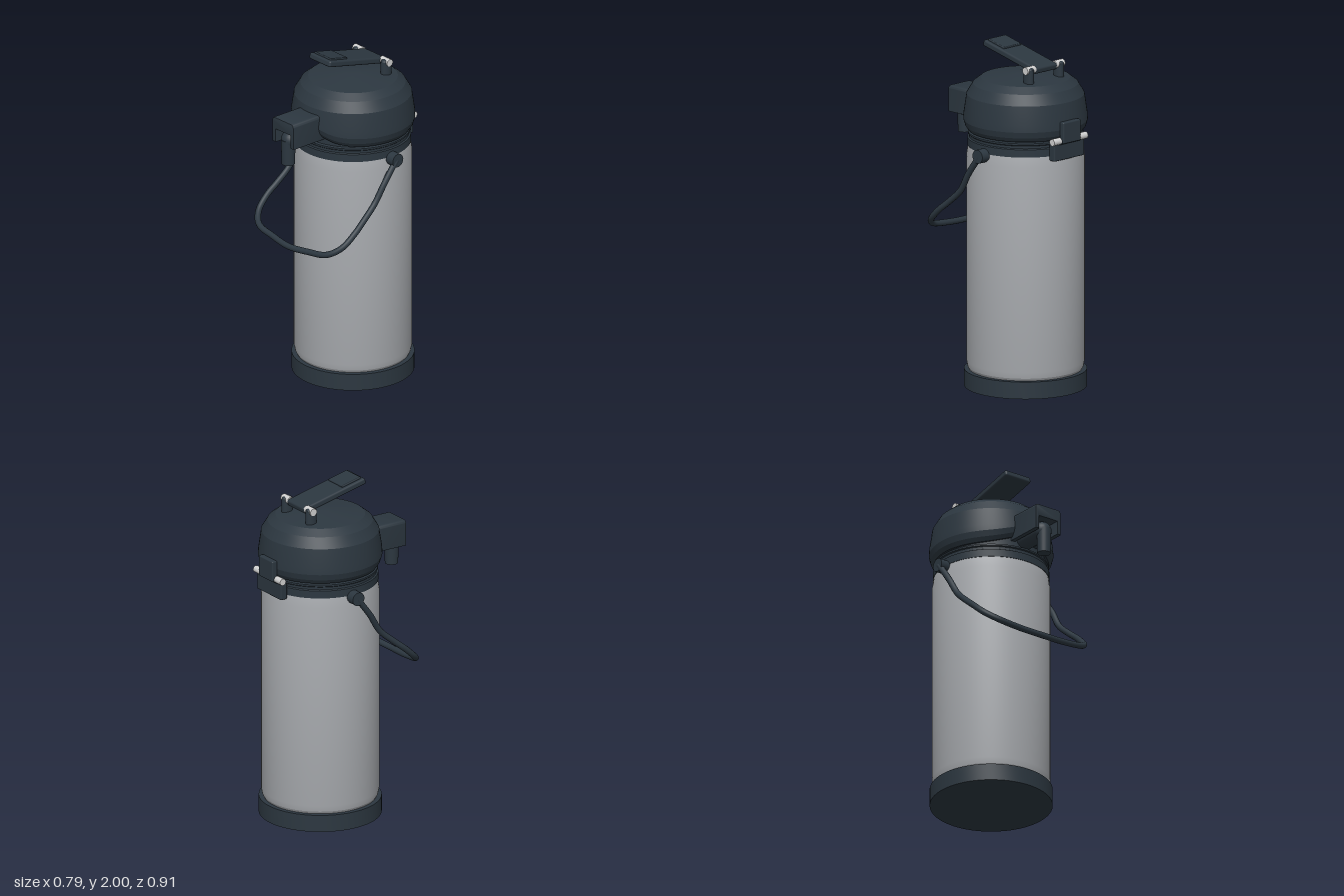
import * as THREE from 'three';
import { toCreasedNormals } from 'three/addons/utils/BufferGeometryUtils.js';
import { RoundedBoxGeometry } from 'three/addons/geometries/RoundedBoxGeometry.js';

const AXIS_Z = -0.08; // the flask sits slightly behind the centre

export function createModel() {
  const model = new THREE.Group();
  model.name = 'vacuumFlask';

  const material = (name, color) => {
    const m = new THREE.MeshStandardMaterial({ color });
    m.name = name;
    return m;
  };
  const plastic = material('dark plastic', 0x2c3740);
  const steel = material('brushed steel', 0xa8abaf);
  const pinMetal = material('light pin metal', 0xd0d0d0);

  const add = (name, geometry, mat, x = 0, y = 0, z = 0, parent = model) => {
    const mesh = new THREE.Mesh(geometry, mat);
    mesh.name = name;
    mesh.position.set(x, y, z);
    parent.add(mesh);
    return mesh;
  };
  const box = (w, h, d, r = 0.008) => new RoundedBoxGeometry(w, h, d, 3, r);
  const rod = (r, length) => new THREE.CylinderGeometry(r, r, length, 24);
  const rodX = (r, length) => rod(r, length).rotateZ(Math.PI / 2);
  const lathe = (points) =>
    new THREE.LatheGeometry(points.map(([r, y]) => new THREE.Vector2(r, y)), 72);
  const crease = (geometry) => toCreasedNormals(geometry, 0.22);

  // Foot, body and neck collar
  add('base', crease(lathe([[0, 0], [0.35, 0], [0.35, 0.1], [0.3, 0.1]])), plastic, 0, 0, AXIS_Z);
  add('body', crease(lathe([
    [0.3, 0.09], [0.322, 0.1], [0.33, 0.115], [0.337, 0.15], [0.337, 1.35], [0.328, 1.41], [0.3, 1.415],
  ])), steel, 0, 0, AXIS_Z);
  add('collar', crease(lathe([
    [0.3, 1.41], [0.331, 1.41], [0.331, 1.455], [0.322, 1.46], [0.322, 1.475],
    [0.328, 1.48], [0.328, 1.49], [0.315, 1.495], [0.315, 1.58],
  ])), plastic, 0, 0, AXIS_Z);

  // Domed head, its lower rim lifted into an arch under the spout
  const head = lathe([
    [0.3, 1.5], [0.328, 1.5], [0.344, 1.525], [0.354, 1.56], [0.352, 1.6],
    [0.336, 1.71], [0.3, 1.77], [0.255, 1.805], [0.05, 1.833], [0, 1.834],
  ]);
  const pos = head.attributes.position;
  for (let i = 0; i < pos.count; i++) {
    const x = pos.getX(i), y = pos.getY(i);
    if (pos.getZ(i) > 0 && y < 1.65) {
      const fade = Math.min(1, (1.65 - y) / 0.1);
      pos.setY(i, y + 0.06 * fade * Math.exp(-((x / 0.15) ** 2)));
    }
  }
  add('head', crease(head), plastic, 0, 0, AXIS_Z);

  // Spout hood, open underneath
  const hood = new THREE.Shape();
  hood.moveTo(-0.084, 1.53);
  hood.lineTo(-0.084, 1.655);
  hood.quadraticCurveTo(-0.084, 1.67, -0.069, 1.67);
  hood.lineTo(0.069, 1.67);
  hood.quadraticCurveTo(0.084, 1.67, 0.084, 1.655);
  hood.lineTo(0.084, 1.53);
  hood.lineTo(0.07, 1.53);
  hood.lineTo(0.07, 1.61);
  hood.lineTo(-0.07, 1.61);
  hood.lineTo(-0.07, 1.53);
  add('spoutHood', toCreasedNormals(new THREE.ExtrudeGeometry(hood, {
    depth: 0.33, bevelEnabled: true, bevelSize: 0.006, bevelThickness: 0.006, bevelSegments: 2,
  }), 0.6), plastic, 0, 0, 0.118);

  // Nozzle with its feed pipe
  add('spoutPipe', rod(0.055, 0.24).rotateX(Math.PI / 2), plastic, 0, 1.545, 0.28);
  add('spoutElbow', new THREE.SphereGeometry(0.055, 24, 16), plastic, 0, 1.545, 0.395);
  add('nozzle', new THREE.CylinderGeometry(0.042, 0.038, 0.15, 24), plastic, 0, 1.475, 0.412);

  // Pump lever with its button plate
  const lever = new THREE.Group();
  lever.name = 'pumpLever';
  lever.position.set(0, 1.925, -0.037);
  lever.rotation.x = -0.225;
  model.add(lever);
  add('leverArm', box(0.18, 0.038, 0.435, 0.012), plastic, 0, 0, 0, lever);
  add('leverButton', box(0.14, 0.02, 0.132, 0.005), plastic, 0, 0.019, 0.134, lever);

  // Lever posts and pins, clasp pins and handle pivots
  for (const s of [-1, 1]) {
    add('leverPost', rod(0.034, 0.1).scale(0.75, 1, 1), plastic, s * 0.12, 1.84, -0.225);
    add('leverPostCap', new THREE.SphereGeometry(0.034, 20, 12).scale(0.75, 0.5, 1),
      plastic, s * 0.12, 1.888, -0.225);
    add('leverPin', rodX(0.022, 0.07), pinMetal, s * 0.115, 1.886, -0.228);
    add('claspPin', rodX(0.02, 0.06), pinMetal, s * 0.105, 1.5, -0.43);
    add('handlePivot', rodX(0.04, 0.065), plastic, s * 0.353, 1.4, AXIS_Z);
  }

  // Rear clasp
  add('claspUpper', box(0.14, 0.125, 0.035), plastic, 0, 1.547, -0.441);
  add('claspLower', box(0.24, 0.1, 0.045), plastic, 0, 1.435, -0.412);
  add('claspHinge', rodX(0.018, 0.16), plastic, 0, 1.495, -0.43);

  // Swinging carry handle, mirrored about the middle
  const half = [
    [0.37, 1.4, -0.08], [0.37, 1.28, 0.01], [0.364, 1.17, 0.08], [0.37, 1.09, 0.17],
    [0.375, 1.035, 0.24], [0.357, 0.965, 0.32], [0.29, 0.917, 0.376], [0.15, 0.895, 0.395],
  ];
  const path = [
    ...half, [0, 0.885, 0.41],
    ...half.slice().reverse().map(([x, y, z]) => [-x, y, z]),
  ].map((p) => new THREE.Vector3(...p));
  add('carryHandle',
    new THREE.TubeGeometry(new THREE.CatmullRomCurve3(path), 120, 0.018, 12), plastic);

  return model;
}
